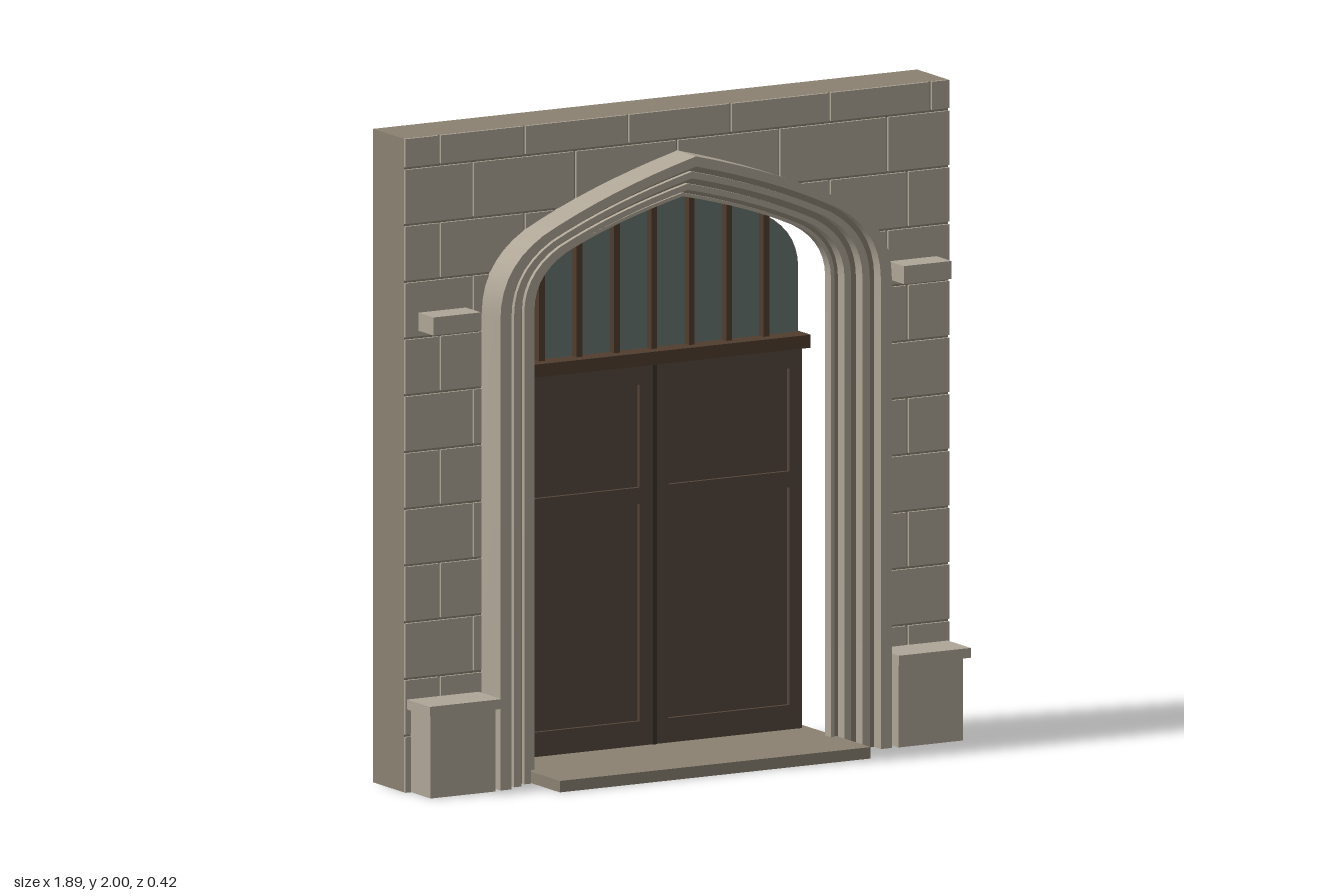
import * as THREE from 'three';
import { toCreasedNormals } from 'three/addons/utils/BufferGeometryUtils.js';

const SPRING = 1.44, OUTER = 0.68, INNER = 0.515;

function material(name, color) {
  const m = new THREE.MeshStandardMaterial({ color });
  m.name = name;
  return m;
}

// Half of a four-centred arch, from the springing (1,0) to the apex (0,1)
const haunch = new THREE.QuadraticBezierCurve(
  new THREE.Vector2(1, 0), new THREE.Vector2(1, 0.36), new THREE.Vector2(0.78, 0.56));
const crown = new THREE.QuadraticBezierCurve(
  new THREE.Vector2(0.78, 0.56), new THREE.Vector2(0.45, 0.82), new THREE.Vector2(0, 1));
const unitArch = [...haunch.getPoints(7), ...crown.getPoints(8).slice(1)];

const apex = (w) => 1.74 + (w - INNER) * 0.82;

// Arch outline from the foot on +x, over the apex, to the foot on -x
function archPoints(w, base = 0) {
  const half = unitArch.map((p) => new THREE.Vector2(p.x * w, SPRING + p.y * (apex(w) - SPRING)));
  const mirrored = half.slice(0, -1).reverse().map((p) => new THREE.Vector2(-p.x, p.y));
  return [new THREE.Vector2(w, base), ...half, ...mirrored, new THREE.Vector2(-w, base)];
}

// Height of the arch line of half-width w at x (0 outside it)
function archY(x, w) {
  const u = Math.abs(x) / w;
  if (u >= 1) return 0;
  const i = unitArch.findIndex((p) => p.x <= u);
  const a = unitArch[Math.max(i - 1, 0)], b = unitArch[Math.max(i, 1)];
  const t = a.x === b.x ? 0 : (a.x - u) / (a.x - b.x);
  return SPRING + (a.y + (b.y - a.y) * t) * (apex(w) - SPRING);
}

export function createModel() {
  const group = new THREE.Group();
  const stone = material('light stone', 0xaea596);
  const darkStone = material('dark stone', 0x8a8171);
  const doorWood = material('door wood', 0x54463a);
  const frameWood = material('frame wood', 0x503d2f);
  const glass = material('window glass', 0x667570);
  const seam = material('door seam', 0x38322c);

  function add(name, geometry, mat) {
    const mesh = new THREE.Mesh(geometry, mat);
    mesh.name = name;
    group.add(mesh);
    return mesh;
  }
  function box(name, mat, x0, x1, y0, y1, z0, z1) {
    const g = new THREE.BoxGeometry(x1 - x0, y1 - y0, z1 - z0);
    g.translate((x0 + x1) / 2, (y0 + y1) / 2, (z0 + z1) / 2);
    return add(name, g, mat);
  }
  function slab(name, mat, shape, z0, z1) {
    const g = new THREE.ExtrudeGeometry(shape, { depth: z1 - z0, bevelEnabled: false });
    g.translate(0, 0, z0);
    return add(name, toCreasedNormals(g, 0.45), mat);
  }
  function rectangle(x0, x1, y0, y1) {
    return [[x0, y0], [x1, y0], [x1, y1], [x0, y1]].map(([x, y]) => new THREE.Vector2(x, y));
  }

  // Wall with an arched opening
  const W = 0.945;
  slab('wall', darkStone, new THREE.Shape([
    new THREE.Vector2(W, 0), new THREE.Vector2(W, 2), new THREE.Vector2(-W, 2), new THREE.Vector2(-W, 0),
    ...archPoints(OUTER - 0.004).reverse(),
  ]), -0.21, -0.026);

  // Courses of facing blocks, cut along the arch
  const pitch = 0.1736, gap = 0.004;
  for (let row = 0; row < 12; row++) {
    const y0 = row * pitch + (row ? gap : 0);
    const y1 = Math.min((row + 1) * pitch - gap, 2);
    const joints = row % 2
      ? [-W, -0.825, -0.53, -0.17, 0.185, 0.53, row === 11 ? 0.88 : 0.8, W]
      : [-W, -0.71, -0.355, 0, 0.355, 0.73, W];
    for (let j = 0; j < joints.length - 1; j++) {
      const a = joints[j] + (j ? gap : 0);
      const b = joints[j + 1] - (j < joints.length - 2 ? gap : 0);
      const xs = [-OUTER, -OUTER + 1e-4, OUTER - 1e-4, OUTER].filter((x) => x > a && x < b);
      for (let k = 0; k <= 40; k++) xs.push(a + (b - a) * k / 40);
      xs.sort((p, q) => p - q);
      let bottom = xs.map((x) => new THREE.Vector2(x, Math.max(y0, archY(x, OUTER - 0.004))))
        .filter((p) => p.y < y1 - 0.002);
      if (bottom.length < 2) continue;
      if (bottom.every((p) => p.y === y0)) bottom = [bottom[0], bottom[bottom.length - 1]];
      const first = bottom[0].x, last = bottom[bottom.length - 1].x;
      if (last - first < 0.005) continue;
      slab('facingBlock', stone, new THREE.Shape([
        ...bottom, new THREE.Vector2(last, y1), new THREE.Vector2(first, y1)]), -0.026, -0.017);
    }
  }

  // Stepped arch mouldings: outer half-width, inner half-width, front z
  const rings = [
    [0.68, 0.642, 0.095, stone], [0.642, 0.618, 0.055, darkStone],
    [0.618, 0.593, 0.07, stone], [0.593, 0.568, 0.03, darkStone],
    [0.568, 0.545, 0.045, stone], [0.545, 0.528, 0.005, darkStone],
    [0.528, 0.515, 0.015, stone],
  ];
  for (const [outer, inner, front, mat] of rings) {
    slab('archMoulding', mat,
      new THREE.Shape([...archPoints(outer), ...archPoints(inner).reverse()]), -0.02, front);
  }

  // Backing panel and fanlight glass
  slab('backingPanel', darkStone, new THREE.Shape(archPoints(0.52, 0.03)), -0.21, -0.19);
  slab('fanlightGlass', glass, new THREE.Shape(archPoints(INNER, 1.22)), -0.19, -0.182);

  // Fanlight bars and transom
  for (let i = -3; i <= 3; i++) {
    const x = i * 0.13;
    box('fanlightBar', frameWood, x - 0.01, x + 0.01, 1.23, archY(x, INNER) + 0.004, -0.19, -0.155);
  }
  box('transom', frameWood, -0.52, 0.52, 1.205, 1.245, -0.19, -0.115);

  // Double door with recessed panels
  for (const s of [-1, 1]) {
    const span = (a, b) => (s > 0 ? [a, b] : [-b, -a]);
    const [l, r] = span(0.008, INNER);
    const [pl, pr] = span(0.05, 0.47);
    box('doorBoard', doorWood, l, r, 0.035, 1.205, -0.19, -0.17);
    const leaf = new THREE.Shape(rectangle(l, r, 0.035, 1.205));
    for (const [y0, y1] of [[0.11, 0.775], [0.825, 1.14]]) {
      leaf.holes.push(new THREE.Path(rectangle(pl, pr, y0, y1)));
    }
    slab('doorLeafFrame', doorWood, leaf, -0.17, -0.157);

    // Pedestal, its cap and the label stop
    const [bl, br] = span(0.7, 0.925);
    box('pedestal', stone, bl, br, 0, 0.255, -0.02, 0.1);
    const [cl, cr] = span(0.69, 0.94);
    box('pedestalCap', stone, cl, cr, 0.255, 0.285, -0.02, 0.12);
    const [kl, kr] = span(0.735, 0.9);
    box('labelStop', stone, kl, kr, 1.41, 1.465, -0.02, 0.073);
  }
  box('doorSeam', seam, -0.008, 0.008, 0.035, 1.205, -0.19, -0.153);

  // Threshold step
  box('threshold', darkStone, -0.54, 0.54, 0, 0.035, -0.21, 0.21);

  return group;
}
